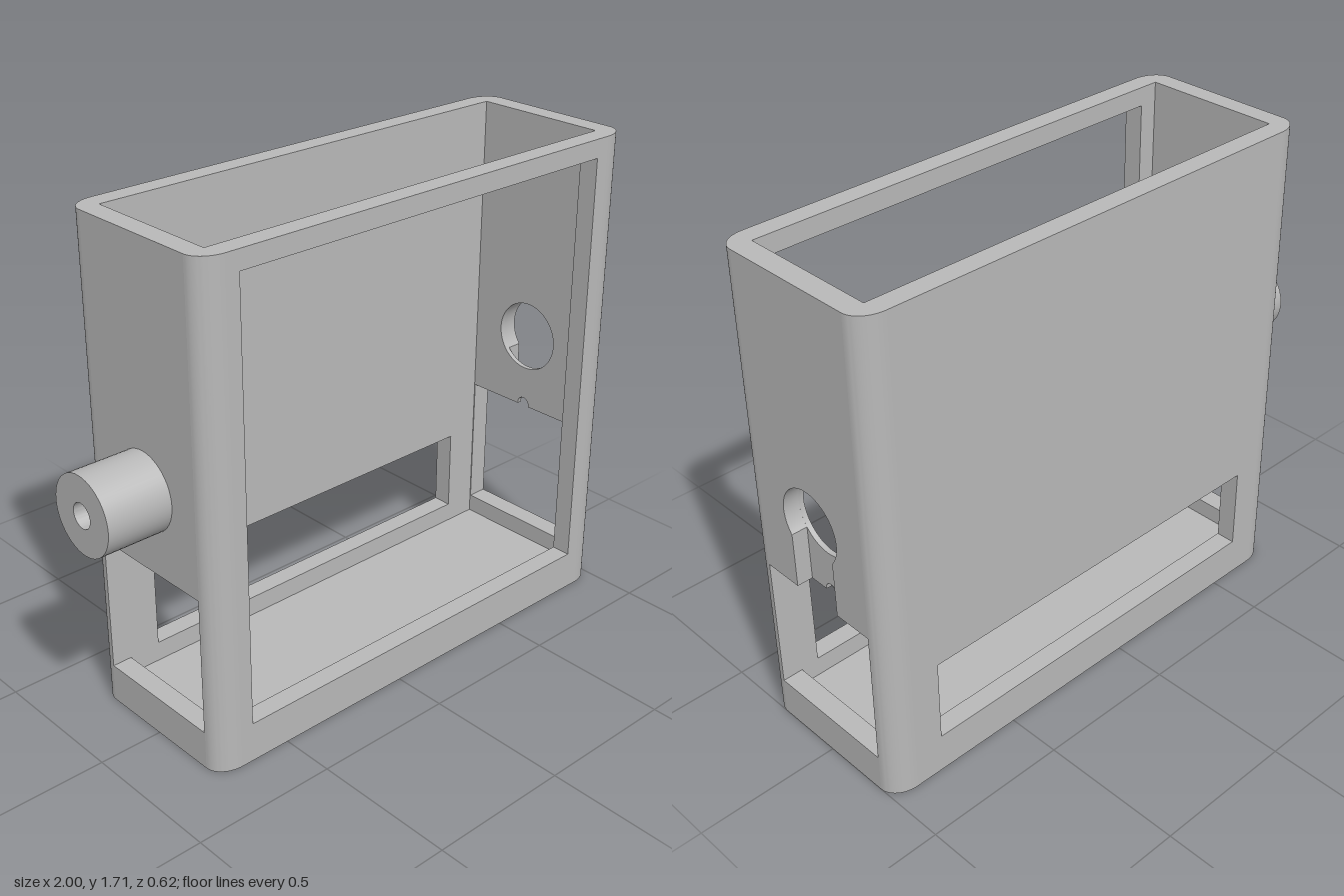
import * as THREE from 'three';
import { toCreasedNormals } from 'three/addons/utils/BufferGeometryUtils.js';

const X0 = -0.775, X1 = 1, H = 1.705; // outer ends and height
const ZO = 0.3125, ZI = 0.243;        // outer and inner half depth
const R = 0.09, WALL = 0.07;
const AXLE = 0.89;                    // height of the boss and keyhole

const grey = new THREE.MeshStandardMaterial({ color: 0xb8b8b8 });
grey.name = 'grey plastic';

function rect(Type, x0, y0, x1, y1) {
  const p = new Type();
  p.moveTo(x0, y0);
  p.lineTo(x1, y0);
  p.lineTo(x1, y1);
  p.lineTo(x0, y1);
  p.closePath();
  return p;
}

function circle(Type, r) {
  const p = new Type();
  p.absarc(0, AXLE, r, 0, Math.PI * 2, false);
  return p;
}

function extrude(shape, depth) {
  const g = new THREE.ExtrudeGeometry(shape, { depth, bevelEnabled: false, curveSegments: 24 });
  return toCreasedNormals(g, 0.6);
}

export function createModel() {
  const group = new THREE.Group();
  const add = (name, geometry) => {
    const mesh = new THREE.Mesh(geometry, grey);
    mesh.name = name;
    group.add(mesh);
  };

  // Front and back panels, each with a rectangular window
  const panel = (name, z, window) => {
    const s = rect(THREE.Shape, X0 + R, 0, X1 - R, H);
    s.holes.push(rect(THREE.Path, ...window));
    add(name, extrude(s, ZO - ZI).translate(0, 0, z));
  };
  panel('frontFrame', ZI, [-0.64, 0.14, 0.86, 1.64]);
  panel('backPanel', -ZO, [-0.59, 0.14, 0.805, 0.435]);

  // Rounded corner posts
  for (const sx of [-1, 1]) {
    for (const sz of [-1, 1]) {
      const cx = sx > 0 ? X1 - R : X0 + R;
      const s = new THREE.Shape();
      s.moveTo(cx, sz * ZI);
      for (let i = 0; i <= 16; i++) {
        const a = (i / 16) * Math.PI / 2;
        s.lineTo(cx + sx * R * Math.cos(a), sz * (ZI + (ZO - ZI) * Math.sin(a)));
      }
      s.closePath();
      add('cornerPost', extrude(s, H).rotateX(-Math.PI / 2));
    }
  }

  // Floor
  add('floor', new THREE.BoxGeometry(X1 - X0 - 2 * WALL, WALL, 2 * ZI)
    .translate((X0 + X1) / 2, WALL / 2, 0));

  // Side walls are drawn in the z-y plane and extruded along x
  const side = (name, x, depth, shape, ...holes) => {
    shape.holes.push(...holes);
    add(name, extrude(shape, depth).rotateY(Math.PI / 2).translate(x, 0, 0));
  };
  const wall = () => rect(THREE.Shape, -ZI, 0, ZI, H);
  const W = 0.24, LOW = 0.135, TOP = 0.615;

  // Right wall with window and axle hole, plus the bored boss
  side('rightWall', X0, WALL, wall(),
    rect(THREE.Path, -W, LOW, W, TOP), circle(THREE.Path, 0.042));
  side('boss', -1, X0 + 1, circle(THREE.Shape, 0.133), circle(THREE.Path, 0.042));

  // Left wall, outer layer: window, slot and keyhole in one opening
  const slot = 0.096, r = 0.125;
  const a = Math.acos(slot / r);
  const key = new THREE.Path();
  key.moveTo(-W, LOW);
  key.lineTo(W, LOW);
  key.lineTo(W, TOP);
  key.lineTo(slot, TOP);
  key.lineTo(slot, AXLE - r * Math.sin(a));
  key.absarc(0, AXLE, r, -a, Math.PI + a, false);
  key.lineTo(-slot, TOP);
  key.lineTo(-W, TOP);
  key.closePath();
  side('leftWallOuter', 0.945, X1 - 0.945, wall(), key);

  // Left wall, inner layer: thin web behind the slot with a small notch
  const notched = new THREE.Path();
  notched.moveTo(-W, LOW);
  notched.lineTo(W, LOW);
  notched.lineTo(W, TOP);
  notched.lineTo(0.025, TOP);
  notched.absarc(0, TOP + 0.005, 0.025, 0, Math.PI, false);
  notched.lineTo(-0.025, TOP);
  notched.lineTo(-W, TOP);
  notched.closePath();
  side('leftWallInner', 0.927, 0.018, wall(), notched, circle(THREE.Path, r));

  return group;
}
